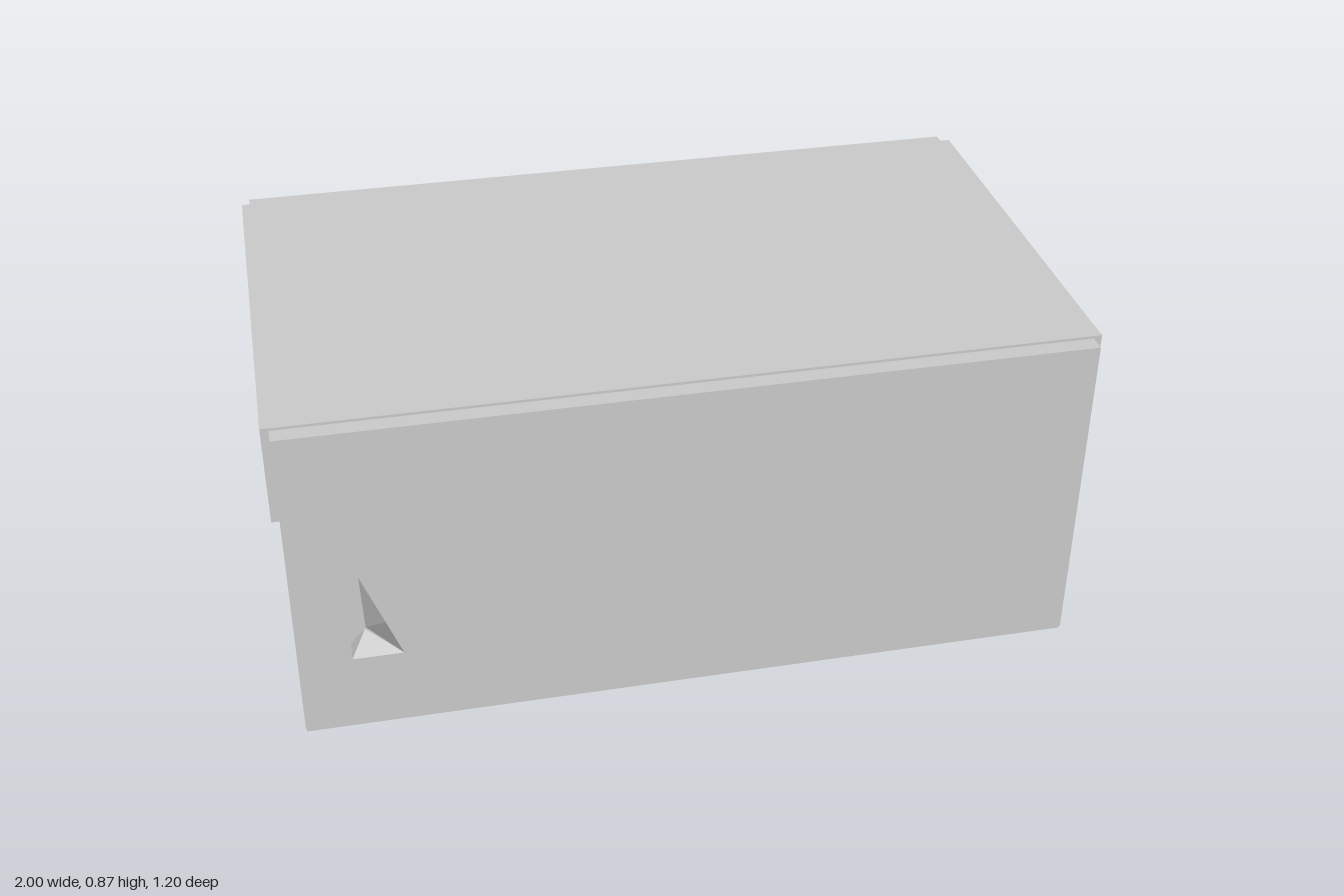
import * as THREE from 'three';

const grey = new THREE.MeshStandardMaterial({ color: 0xcccccc, flatShading: true, side: THREE.DoubleSide });
const dark = new THREE.MeshStandardMaterial({ color: 0x1e1818, side: THREE.DoubleSide });

const X = 0.98, Z = 0.6, BASE = 0.008, EAVE = 0.86, TOP = 0.867, ROOF_Z = 0.557;
const v2 = (pts) => pts.map(([x, y]) => new THREE.Vector2(x, y));

function add(parent, name, geometry, material = grey) {
  const mesh = new THREE.Mesh(geometry, material);
  mesh.name = name;
  parent.add(mesh);
  return mesh;
}

// Round-headed opening outline
function archOutline(halfWidth, bottom, top) {
  const pts = [[-halfWidth, bottom], [halfWidth, bottom]];
  for (let i = 0; i <= 12; i++) {
    const a = (i / 12) * Math.PI;
    pts.push([halfWidth * Math.cos(a), top - halfWidth + halfWidth * Math.sin(a)]);
  }
  return pts;
}

// Flat wall in the xy plane, facing +z, with openings cut through
function wallGeometry(halfWidth, holes) {
  const shape = new THREE.Shape(v2([[-halfWidth, BASE], [halfWidth, BASE], [halfWidth, EAVE], [-halfWidth, EAVE]]));
  holes.forEach((h) => shape.holes.push(new THREE.Path(v2(h))));
  return new THREE.ShapeGeometry(shape);
}

// Reveal running inward from one outline to another
function revealGeometry(outer, inner, depth) {
  const pos = [];
  outer.forEach((a, i) => {
    const j = (i + 1) % outer.length;
    const b = outer[j], c = inner[j], d = inner[i];
    pos.push(...a, 0, ...c, -depth, ...b, 0, ...a, 0, ...d, -depth, ...c, -depth);
  });
  const g = new THREE.BufferGeometry();
  g.setAttribute('position', new THREE.Float32BufferAttribute(pos, 3));
  g.computeVertexNormals();
  return g;
}

function addNiche(parent, name, outer, inner, depth, backMaterial = grey) {
  add(parent, name + 'Reveal', revealGeometry(outer, inner, depth));
  const back = new THREE.ShapeGeometry(new THREE.Shape(v2(inner)));
  add(parent, name + 'Back', back.translate(0, 0, -depth), backMaterial);
}

// Long wall with one splayed slit window
function longWall(name) {
  const wall = new THREE.Group();
  wall.name = name;
  const outer = [[-0.85, 0.21], [-0.725, 0.21], [-0.763, 0.31], [-0.818, 0.455], [-0.835, 0.475], [-0.85, 0.45]];
  const inner = [[-0.85, 0.21], [-0.812, 0.25], [-0.81, 0.255], [-0.818, 0.455], [-0.835, 0.475], [-0.85, 0.45]];
  add(wall, 'wallFace', wallGeometry(X, [outer]));
  addNiche(wall, 'slitWindow', outer, inner, 0.06);
  wall.position.z = Z;
  return wall;
}

// End wall: arched panel, and optionally the door with two windows above it
function endWall(name, hasOpenings) {
  const wall = new THREE.Group();
  wall.name = name;
  const door = archOutline(0.06, 0.012, 0.2);
  const windows = [archOutline(0.06, 0.21, 0.48), archOutline(0.06, 0.53, 0.7)];
  add(wall, 'wallFace', wallGeometry(Z, hasOpenings ? [door, ...windows] : []));
  if (hasOpenings) {
    addNiche(wall, 'door', door, door, 0.01, dark);
    windows.forEach((w) => addNiche(wall, 'window', w, w, 0.12));
  }
  const arch = new THREE.Shape();
  arch.moveTo(-ROOF_Z, 0.61);
  arch.lineTo(-0.47, 0.61);
  arch.absellipse(0, 0.61, 0.47, 0.192, Math.PI, 0, true);
  arch.lineTo(ROOF_Z, 0.61);
  arch.lineTo(ROOF_Z, TOP);
  arch.lineTo(-ROOF_Z, TOP);
  arch.closePath();
  add(wall, 'archPanel', new THREE.ExtrudeGeometry(arch, { depth: 0.02, bevelEnabled: false, curveSegments: 32 }));
  wall.position.z = X;
  return wall;
}

function turned(object, angle) {
  const pivot = new THREE.Group();
  pivot.name = object.name + 'Side';
  pivot.rotation.y = angle;
  pivot.add(object);
  return pivot;
}

export function createModel() {
  const model = new THREE.Group();
  model.name = 'hall';

  // Walls, the back one being the front one turned half round
  model.add(turned(longWall('frontWall'), 0));
  model.add(turned(longWall('backWall'), Math.PI));
  model.add(turned(endWall('plainEnd', false), Math.PI / 2));
  model.add(turned(endWall('doorEnd', true), -Math.PI / 2));

  // Floor, and a roof stepped down along the long edges
  add(model, 'floor', new THREE.BoxGeometry(2 * X - 0.004, BASE, 2 * Z - 0.004).translate(0, BASE / 2, 0));
  add(model, 'eaves', new THREE.PlaneGeometry(2 * X, 2 * Z).rotateX(-Math.PI / 2).translate(0, EAVE, 0));
  add(model, 'roof', new THREE.BoxGeometry(2 * X, TOP - EAVE, 2 * ROOF_Z).translate(0, (TOP + EAVE) / 2, 0));
  return model;
}
